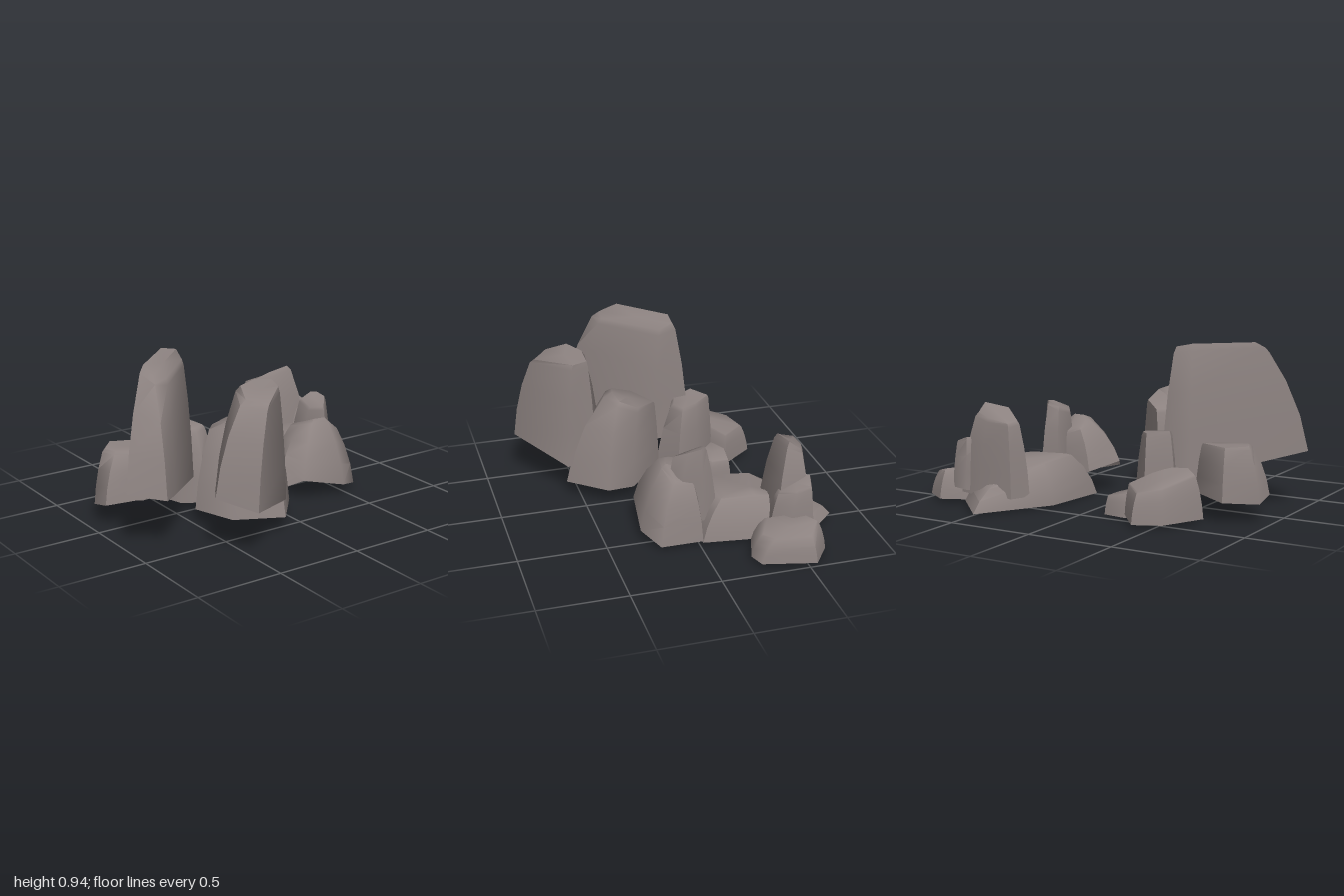
import * as THREE from 'three';
import { toCreasedNormals } from 'three/addons/utils/BufferGeometryUtils.js';

const stone = new THREE.MeshStandardMaterial({ color: 0x8c8280, side: THREE.DoubleSide });

// Lofts a hollow boulder from a base outline to a top outline, both [x, y, z],
// counter-clockwise seen from above, with a bulging waist and a bevelled rim.
function rock(name, base, top) {
  const n = base.length;
  // [share of the way inwards, share of the way up]
  const profile = [[0, 0], [0.17, 0.33], [0.45, 0.65], [0.85, 0.95], [1.04, 1]];
  const points = [];
  for (const [inward, up] of profile) {
    base.forEach((b, i) => {
      const t = top[i];
      points.push(
        b[0] + (t[0] - b[0]) * inward,
        b[1] + (t[1] - b[1]) * up,
        b[2] + (t[2] - b[2]) * inward
      );
    });
  }
  const centre = [0, 1, 2].map((k) => top.reduce((s, t) => s + t[k], 0) / n);
  points.push(...centre);

  const faces = [];
  const last = profile.length - 1;
  for (let i = 0; i < n; i++) {
    const j = (i + 1) % n;
    for (let r = 0; r < last; r++) {
      const a = r * n + i, b = r * n + j;
      faces.push(a, b, b + n, a, b + n, a + n);
    }
    faces.push(last * n + i, last * n + j, profile.length * n);
  }
  const geometry = new THREE.BufferGeometry();
  geometry.setAttribute('position', new THREE.Float32BufferAttribute(points, 3));
  geometry.setIndex(faces);
  const mesh = new THREE.Mesh(toCreasedNormals(geometry, 1), stone);
  mesh.name = name;
  return mesh;
}

export function createModel() {
  const model = new THREE.Group();
  model.name = 'rockFormation';

  // Taller cluster
  const tall = new THREE.Group();
  tall.name = 'tallCluster';
  tall.add(
    rock('longSlab',
      [[-.37, .2, -.02], [-.36, .2, -.23], [-.54, .22, -.23], [-1, .33, .32], [-.83, .3, .45], [-.72, .28, .35]],
      [[-.41, .89, -.06], [-.4, .93, -.14], [-.5, .95, -.14], [-.77, .95, .12], [-.77, .91, .23], [-.69, .89, .23]]),
    rock('frontPillar',
      [[-.15, .2, .57], [-.15, .2, .4], [-.32, .2, .33], [-.5, .27, .4], [-.65, .33, .63], [-.51, .28, .82]],
      [[-.17, .83, .52], [-.16, .85, .44], [-.28, .87, .44], [-.41, .87, .5], [-.46, .83, .62], [-.37, .81, .71]]),
    rock('slopedBoulder',
      [[.02, .1, .37], [.01, .1, .22], [-.22, .1, 0], [-.5, .1, .2], [-.42, .1, .45], [-.16, .1, .58]],
      [[-.06, .62, .28], [-.05, .57, .17], [-.18, .54, .04], [-.35, .55, .14], [-.31, .6, .27], [-.14, .65, .31]]),
    rock('sideBoulder',
      [[-.54, .16, -.1], [-.57, .15, -.22], [-.78, .13, -.32], [-.93, .11, -.17], [-.93, .14, -.04], [-.72, .16, .04]],
      [[-.58, .41, -.12], [-.6, .42, -.2], [-.77, .42, -.27], [-.86, .42, -.17], [-.83, .42, -.09], [-.71, .41, -.04]]),
    rock('backBoulder',
      [[-.25, .03, -.44], [-.4, .03, -.63], [-.55, .03, -.56], [-.67, .03, -.32], [-.58, .03, -.24], [-.4, .03, -.25]],
      [[-.28, .21, -.44], [-.41, .2, -.58], [-.53, .22, -.53], [-.62, .27, -.33], [-.55, .29, -.27], [-.41, .28, -.28]]),
    rock('innerBoulder',
      [[-.15, .03, -.1], [-.2, .03, -.24], [-.33, .03, -.37], [-.48, .03, -.28], [-.42, .03, -.08], [-.29, .03, 0]],
      [[-.22, .45, -.15], [-.25, .46, -.24], [-.33, .47, -.34], [-.43, .48, -.26], [-.39, .46, -.14], [-.3, .45, -.11]]),
    rock('smallStone',
      [[-.11, .01, -.3], [-.11, .01, -.42], [-.25, .01, -.44], [-.39, .01, -.37], [-.32, .01, -.25], [-.16, .01, -.24]],
      [[-.13, .12, -.31], [-.13, .12, -.41], [-.24, .14, -.42], [-.34, .15, -.36], [-.3, .15, -.28], [-.17, .13, -.27]])
  );

  // Lower cluster
  const low = new THREE.Group();
  low.name = 'lowCluster';
  low.add(
    rock('frontBoulder',
      [[.61, .03, .22], [.61, .03, -.02], [.4, .07, -.06], [.22, .15, -.05], [.13, .19, .15], [.2, .14, .27], [.47, .07, .3]],
      [[.53, .38, .12], [.53, .36, .02], [.4, .37, -.02], [.32, .4, 0], [.32, .43, .09], [.36, .45, .14], [.44, .45, .15]]),
    rock('leaningSpike',
      [[.53, .12, .1], [.54, .12, -.04], [.5, .12, -.13], [.39, .12, -.13], [.36, .12, .02], [.45, .12, .15]],
      [[.52, .54, .04], [.52, .55, -.03], [.49, .55, -.06], [.42, .52, -.06], [.41, .49, .04], [.46, .5, .11]]),
    rock('broadFoot',
      [[.61, .02, -.02], [.67, .03, -.35], [.71, .03, -.6], [.49, .02, -.82], [.23, .02, -.42], [.21, .01, .02]],
      [[.54, .26, -.16], [.56, .27, -.32], [.55, .24, -.46], [.48, .2, -.5], [.32, .26, -.38], [.3, .27, -.16]]),
    rock('tallPeak',
      [[.73, .08, -.4], [.73, .08, -.6], [.58, .08, -.64], [.37, .08, -.63], [.32, .08, -.52], [.45, .08, -.39]],
      [[.64, .59, -.49], [.64, .54, -.56], [.54, .52, -.6], [.4, .5, -.61], [.38, .51, -.54], [.48, .57, -.48]]),
    rock('peakShoulder',
      [[.79, .1, -.46], [.8, .1, -.59], [.68, .1, -.63], [.56, .1, -.55], [.58, .1, -.4], [.71, .1, -.37]],
      [[.77, .35, -.5], [.77, .37, -.58], [.69, .4, -.6], [.62, .39, -.54], [.63, .35, -.45], [.71, .33, -.42]]),
    rock('endBoulder',
      [[.93, .03, -.25], [1, .03, -.54], [.86, .03, -.64], [.7, .03, -.57], [.66, .03, -.28], [.84, .03, -.22]],
      [[.91, .16, -.33], [.95, .17, -.52], [.85, .2, -.59], [.76, .21, -.53], [.74, .2, -.34], [.84, .16, -.28]])
  );

  model.add(tall, low);
  return model;
}
